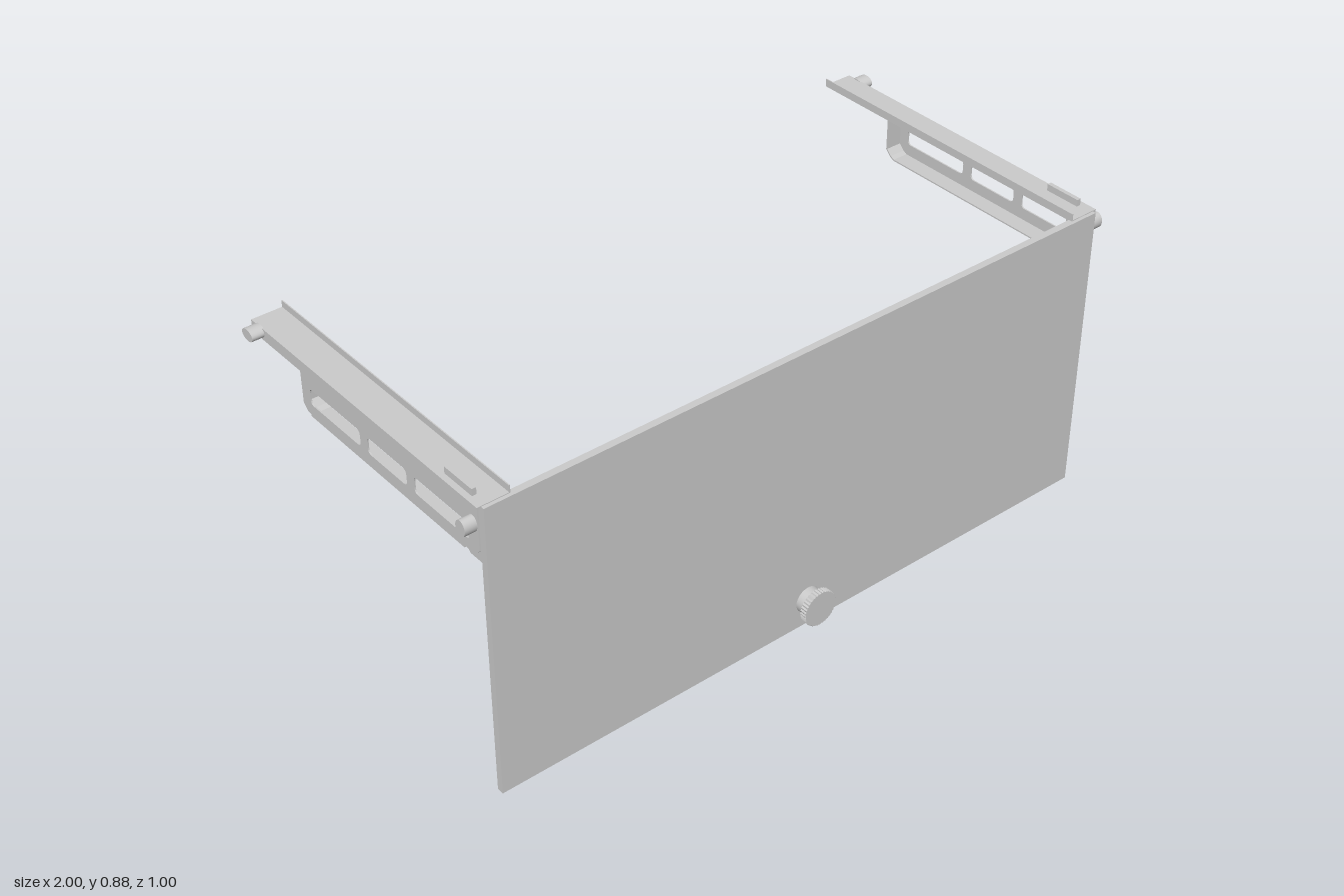
import * as THREE from 'three';

const material = new THREE.MeshStandardMaterial({ color: 0xcccccc, flatShading: true, side: THREE.DoubleSide });
const smooth = new THREE.MeshStandardMaterial({ color: 0xcccccc });

function mesh(name, geometry, parent, mat = material) {
  const m = new THREE.Mesh(geometry, mat);
  m.name = name;
  parent.add(m);
  return m;
}

// Box given by its limits on each axis
function box(name, parent, [x0, x1], [y0, y1], [z0, z1]) {
  const m = mesh(name, new THREE.BoxGeometry(Math.abs(x1 - x0), y1 - y0, z1 - z0), parent);
  m.position.set((x0 + x1) / 2, (y0 + y1) / 2, (z0 + z1) / 2);
  return m;
}

const outline = (points) => new THREE.Shape(points.map(([z, y]) => new THREE.Vector2(z, y)));

// Extrude a (z, y) profile across x, between xIn and xOut on the given side
function sideExtrude(name, parent, shape, xIn, xOut, side) {
  const g = new THREE.ExtrudeGeometry(shape, { depth: xOut - xIn, bevelEnabled: false, curveSegments: 4 });
  g.rotateY(-Math.PI / 2);
  g.translate(side > 0 ? xOut : -xIn, 0, 0);
  return mesh(name, g, parent);
}

function roundedSlot(z0, z1, y0, y1, r) {
  const p = new THREE.Path();
  p.moveTo(z0 + r, y0);
  p.lineTo(z1 - r, y0).quadraticCurveTo(z1, y0, z1, y0 + r);
  p.lineTo(z1, y1 - r).quadraticCurveTo(z1, y1, z1 - r, y1);
  p.lineTo(z0 + r, y1).quadraticCurveTo(z0, y1, z0, y1 - r);
  p.lineTo(z0, y0 + r).quadraticCurveTo(z0, y0, z0 + r, y0);
  return p;
}

function createBracket(side) {
  const group = new THREE.Group();
  group.name = side > 0 ? 'leftBracket' : 'rightBracket';

  // Slotted side plate with a narrow rear arm
  const plate = outline([
    [0.44, 0.858], [-0.495, 0.858], [-0.495, 0.825], [-0.28, 0.825], [-0.28, 0.735],
    [-0.262, 0.717], [-0.25, 0.717], [-0.25, 0.711], [0.38, 0.711], [0.38, 0.718],
    [0.422, 0.718], [0.44, 0.737],
  ]);
  for (const [z0, z1] of [[0.19, 0.405], [0, 0.16], [-0.245, -0.03]])
    plate.holes.push(roundedSlot(z0, z1, 0.748, 0.794, 0.014));
  sideExtrude('sidePlate', group, plate, 0.963, 0.967, side);

  // Folded rim along the bottom and up the rear end
  const rim = outline([
    [0.38, 0.711], [-0.25, 0.711], [-0.262, 0.717], [-0.28, 0.735], [-0.28, 0.825],
    [-0.276, 0.825], [-0.276, 0.737], [-0.26, 0.721], [-0.248, 0.715], [0.38, 0.715],
  ]);
  sideExtrude('foldedRim', group, rim, 0.915, 0.965, side);

  // Top flange, its raised inner lip, and a short rib
  box('topFlange', group, [side * 0.878, side * 0.967], [0.854, 0.858], [-0.495, 0.44]);
  box('innerLip', group, [side * 0.878, side * 0.881], [0.856, 0.877], [-0.495, 0.44]);
  box('topRib', group, [side * 0.939, side * 0.951], [0.856, 0.877], [0.295, 0.4]);

  // Hinge ear behind the panel
  const ear = outline([[0.435, 0.85], [0.368, 0.85], [0.368, 0.708], [0.384, 0.692], [0.435, 0.692]]);
  sideExtrude('hingeEar', group, ear, 0.94, 0.955, side);

  // Oval studs on the outside: [z, y, radius along z, radius along y]
  for (const [z, y, rz, ry] of [[0.42, 0.806, 0.018, 0.022], [-0.46, 0.845, 0.024, 0.016]]) {
    const g = new THREE.CylinderGeometry(1, 1, 0.037, 28);
    g.rotateZ(Math.PI / 2);
    g.scale(1, ry, rz);
    mesh('stud', g, group, smooth).position.set(side * 0.9815, y, z);
  }
  return group;
}

function createKnob() {
  const knob = new THREE.Group();
  knob.name = 'knob';
  const stem = mesh('knobStem', new THREE.CylinderGeometry(0.038, 0.038, 0.032, 32), knob, smooth);
  stem.rotation.x = Math.PI / 2;
  stem.position.z = 0.465;

  // Knurled head
  const points = [];
  for (let i = 0; i < 72; i++) {
    const a = (i / 72) * Math.PI * 2;
    const r = i % 2 ? 0.0495 : 0.052;
    points.push([Math.cos(a) * r, Math.sin(a) * r]);
  }
  const head = new THREE.ExtrudeGeometry(outline(points), { depth: 0.02, bevelEnabled: false });
  mesh('knobHead', head, knob).position.z = 0.48;
  knob.position.y = 0.08;
  return knob;
}

export function createModel() {
  const model = new THREE.Group();
  model.name = 'hangingPanel';
  box('frontPanel', model, [-0.956, 0.956], [0, 0.856], [0.43, 0.45]);
  model.add(createBracket(1), createBracket(-1), createKnob());
  return model;
}
